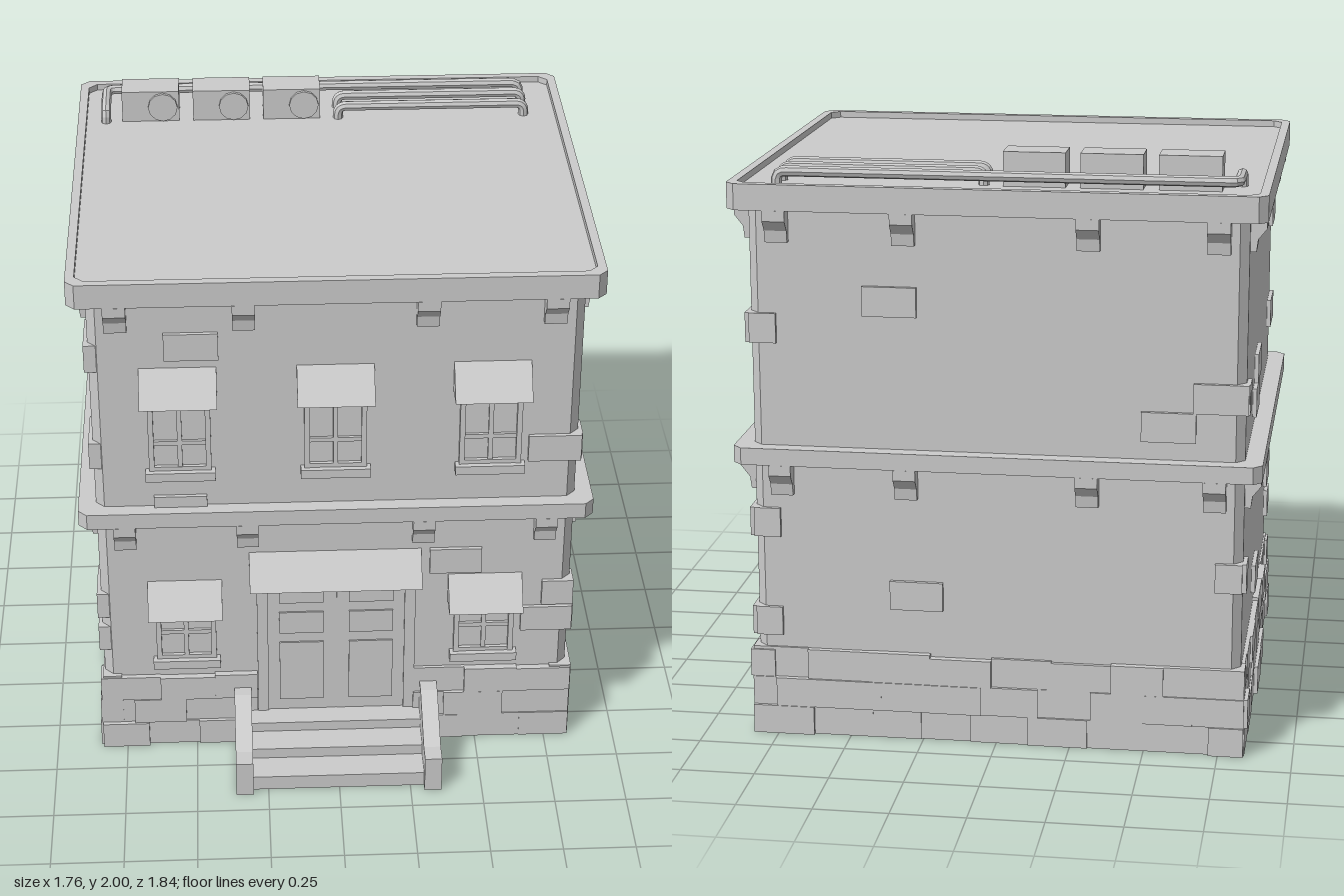
import * as THREE from 'three';

const mat = new THREE.MeshStandardMaterial({ color: 0xcccccc, flatShading: true, side: THREE.DoubleSide });
const HX = 0.82, HZ = 0.7325, CZ = -0.1325; // wall half sizes and centre

function add(parent, name, geo, x = 0, y = 0, z = 0) {
  const m = new THREE.Mesh(geo, mat);
  m.name = name;
  m.position.set(x, y, z);
  parent.add(m);
  return m;
}

// Box given by its limits
function box(parent, name, x0, x1, y0, y1, z0, z1) {
  return add(parent, name, new THREE.BoxGeometry(x1 - x0, y1 - y0, z1 - z0),
    (x0 + x1) / 2, (y0 + y1) / 2, (z0 + z1) / 2);
}

// Rectangle with cut corners
function outline(Type, hx, hz, c) {
  const p = [[hx - c, -hz], [hx, c - hz], [hx, hz - c], [hx - c, hz],
    [c - hx, hz], [-hx, hz - c], [-hx, c - hz], [c - hx, -hz]];
  return new Type(p.map(([x, y]) => new THREE.Vector2(x, y)));
}

// Upright slab or ring with cut corners
function slab(parent, name, hx, hz, c, y0, y1, rim = 0) {
  const s = outline(THREE.Shape, hx, hz, c);
  if (rim) s.holes.push(outline(THREE.Path, hx - rim, hz - rim, c));
  const g = new THREE.ExtrudeGeometry(s, { depth: y1 - y0, bevelEnabled: false });
  g.rotateX(-Math.PI / 2);
  return add(parent, name, g, 0, y0, CZ);
}

// Profile of [outward, up] points, swept across a width centred on x
function prism(parent, name, profile, width, x, y, z) {
  const s = new THREE.Shape(profile.map(([a, b]) => new THREE.Vector2(a, b)));
  const g = new THREE.ExtrudeGeometry(s, { depth: width, bevelEnabled: false });
  g.rotateY(-Math.PI / 2);
  g.translate(width / 2, 0, 0);
  return add(parent, name, g, x, y, z);
}

function awning(parent, x, y, width) {
  prism(parent, 'awning', [[-0.01, 0], [0.09, 0], [0, 0.112], [-0.01, 0.112]], width, x, y, 0);
}

// Sash window: sill at y0, awning starting at y1
function makeWindow(parent, x, y0, y1, bar) {
  const w = new THREE.Group();
  w.name = 'window';
  w.position.x = x;
  parent.add(w);
  box(w, 'sill', -0.118, 0.118, y0, y0 + 0.033, -0.03, 0.035);
  box(w, 'glass', -0.1, 0.1, y0 + 0.03, y1 + 0.04, -0.04, 0.003);
  for (const s of [-1, 1]) box(w, 'frameSide', s * 0.096 - 0.009, s * 0.096 + 0.009, y0 + 0.033, y1 + 0.04, -0.04, 0.018);
  box(w, 'frameBottom', -0.09, 0.09, y0 + 0.033, y0 + 0.048, -0.04, 0.016);
  box(w, 'frameTop', -0.09, 0.09, y1 - 0.012, y1 + 0.02, -0.04, 0.016);
  box(w, 'mullion', -0.008, 0.008, y0 + 0.04, y1, -0.04, 0.014);
  box(w, 'crossBar', -0.09, 0.09, bar - 0.008, bar + 0.008, -0.04, 0.013);
  awning(w, 0, y1, 0.258);
}

// Pipe through points with rounded corners
function pipe(parent, pts) {
  const v = pts.map(p => new THREE.Vector3(...p)), path = new THREE.CurvePath();
  let from = v[0];
  for (let i = 1; i < v.length - 1; i++) {
    const toward = q => v[i].clone().add(q.clone().sub(v[i]).setLength(0.03));
    const a = toward(v[i - 1]), b = toward(v[i + 1]);
    path.add(new THREE.LineCurve3(from, a));
    path.add(new THREE.QuadraticBezierCurve3(a, v[i], b));
    from = b;
  }
  path.add(new THREE.LineCurve3(from, v[v.length - 1]));
  add(parent, 'roofPipe', new THREE.TubeGeometry(path, 110, 0.018, 8));
}

export function createModel() {
  const model = new THREE.Group();
  model.name = 'townhouse';
  let seed = 7;
  const rnd = () => (seed = (seed * 16807) % 2147483647) / 2147483647;

  // Hollow walls, floor band and roof with a low lip
  slab(model, 'walls', HX, HZ, 0.03, 0, 1.85, 0.015);
  slab(model, 'floorBand', 0.88, 0.785, 0.03, 0.96, 1.018);
  slab(model, 'roofSlab', 0.88, 0.785, 0.03, 1.82, 1.885);
  slab(model, 'roofLip', 0.88, 0.785, 0.03, 1.885, 1.907, 0.03);

  // Four wall sides: local x runs along the wall, z points outwards
  const sides = [
    { name: 'frontSide', turn: 0, half: HX, out: HZ, brackets: [-0.725, -0.305, 0.3, 0.72],
      bricks: [[-0.48, 1.645], [-0.53, 1.01], [0.415, 0.765], [0.74, 1.22], [0.775, 0.62, 0.11], [0.74, 0.51]] },
    { name: 'leftSide', turn: 1, half: HZ, out: HX, brackets: [-0.608, -0.188, 0.232, 0.648],
      bricks: [[-0.425, 1.5], [0.195, 1.365], [0.29, 1.245], [0.205, 1.13, 0.15], [0.3, 0.76], [0.005, 0.43],
        [0.65, 1.42], [0.65, 0.75], [0.65, 0.4], [-0.69, 1.22, 0.09], [-0.69, 0.51, 0.09]] },
    { name: 'backSide', turn: 2, half: HX, out: HZ, brackets: [-0.72, -0.3, 0.305, 0.725],
      bricks: [[-0.35, 1.52], [-0.27, 0.51], [0.57, 1.13], [0.74, 1.23], [-0.775, 1.42, 0.09], [-0.775, 0.75, 0.09],
        [-0.775, 0.4, 0.09], [0.775, 0.62, 0.09]] },
    { name: 'rightSide', turn: 3, half: HZ, out: HX, brackets: [-0.648, -0.232, 0.188, 0.608],
      bricks: [[-0.15, 1.21], [-0.23, 1.11], [-0.06, 0.42], [0.64, 1.6], [0.64, 1.22], [0.64, 0.6], [0.68, 0.46, 0.1],
        [-0.69, 1.23, 0.09], [-0.69, 0.62, 0.09]] },
  ];
  const bracketProfile = [[-0.01, -0.11], [0.02, -0.11], [0.025, -0.07], [0.053, -0.035], [0.053, 0], [-0.01, 0]];
  const groups = sides.map(({ name, turn, half, out, brackets, bricks }) => {
    const g = new THREE.Group();
    g.name = name;
    g.rotation.y = turn * Math.PI / 2;
    g.position.set(0, 0, CZ).add(new THREE.Vector3(0, 0, out).applyEuler(g.rotation));
    model.add(g);
    for (const y of [0.96, 1.82]) for (const x of brackets) prism(g, 'bracket', bracketProfile, 0.075, x, y, 0);
    for (const [x, y, w = 0.18] of bricks) box(g, 'brick', x - w / 2, x + w / 2, y - 0.05, y + 0.05, -0.06, 0.014);

    // Three uneven courses of base stones, left open at the door
    const spans = turn ? [[-half - 0.015, half + 0.015]] : [[-half - 0.015, -0.28], [0.275, half + 0.015]];
    for (let row = 0; row < 3; row++) for (const [a, b] of spans) {
      let x = a;
      while (x < b - 0.001) {
        const first = x === a && row % 2 ? 0.1 : 0.19;
        let end = x + first + (rnd() - 0.5) * 0.05;
        if (b - end < 0.08) end = b;
        const y = row * 0.1, top = y + 0.1 - (row === 2 ? rnd() * 0.012 : 0) + (row === 2 ? 0.006 : 0);
        box(g, 'baseStone', x, end, y, top, -0.06, 0.012 + rnd() * 0.02 - row * 0.003);
        x = end;
      }
    }
  });

  // Front windows and double door
  const front = model.getObjectByName('frontSide');
  for (const x of [-0.527, -0.003, 0.52]) makeWindow(front, x, 1.135, 1.45, 1.275);
  for (const x of [-0.527, 0.52]) makeWindow(front, x, 0.345, 0.59, 0.49);
  const door = new THREE.Group();
  door.name = 'doubleDoor';
  front.add(door);
  for (const s of [-1, 1]) {
    const leaf = (n, a, b, y0, y1, z) => box(door, n, Math.min(s * a, s * b), Math.max(s * a, s * b), y0, y1, -0.03, z);
    leaf('doorLeaf', 0.002, 0.24, 0.13, 0.7, 0.004);
    leaf('doorFrame', 0.24, 0.278, 0.13, 0.7, 0.012);
    leaf('doorPanel', 0.045, 0.2, 0.6, 0.67, 0.01);
    leaf('doorPanel', 0.045, 0.2, 0.47, 0.56, 0.01);
    leaf('doorPanel', 0.045, 0.2, 0.18, 0.43, 0.01);
  }
  awning(door, -0.003, 0.702, 0.597);

  // Entrance steps between sloping side walls
  const stairs = new THREE.Group();
  stairs.name = 'entranceSteps';
  model.add(stairs);
  [[0.89, 0.055], [0.785, 0.095], [0.685, 0.132]].forEach(([z, y]) => box(stairs, 'step', -0.31, 0.305, 0, y, 0.57, z));
  const cheek = [[0.58, 0], [0.918, 0], [0.918, 0.137], [0.85, 0.137], [0.665, 0.245], [0.58, 0.245]];
  for (const x of [-0.333, 0.328]) prism(stairs, 'stepSideWall', cheek, 0.06, x, 0, 0);

  // Roof cooling units with round fans
  for (const x of [-0.618, -0.362, -0.108]) {
    const unit = new THREE.Group();
    unit.name = 'coolingUnit';
    unit.position.set(x, 0, 0);
    model.add(unit);
    box(unit, 'casing', -0.103, 0.103, 1.88, 2.0, -0.725, -0.61);
    const fan = new THREE.CylinderGeometry(0.053, 0.053, 0.02, 12);
    fan.rotateX(Math.PI / 2);
    add(unit, 'fan', fan, 0.044, 1.942, -0.608);
  }

  // Roof pipes, bent down into the roof at their ends
  const low = 1.875, py = 1.93;
  pipe(model, [[0.735, low, -0.79], [0.735, py, -0.79], [-0.78, py, -0.79], [-0.78, py, -0.61], [-0.78, low, -0.61]]);
  for (const z of [-0.705, -0.612]) pipe(model, [[0.735, low, z], [0.735, py, z], [0.06, py, z], [0.06, low, z]]);
  return model;
}
